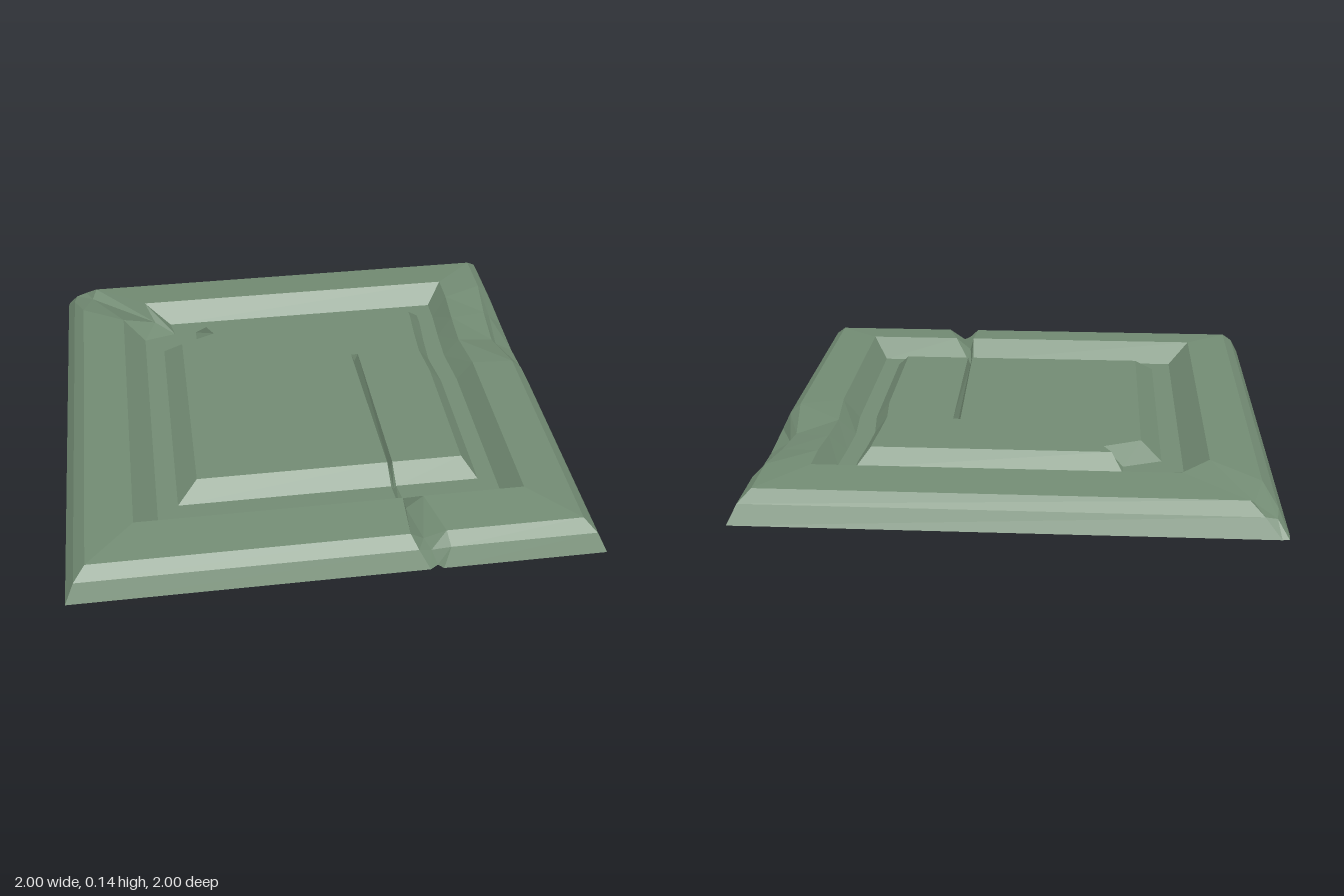
import * as THREE from 'three';

// One entry per square ring, from the outer foot to the inner plateau:
// l/r/f/b = extents, y = height, crack = front crack [xLeft, xMid, xRight, yMid, zMid],
// chip = corner break [backX, midX, midZ, leftZ, midY], dent = right side push [dx, dy]
const square = (h) => ({ l: -h, r: h, f: h, b: -h });
const RINGS = [
  { ...square(1), y: 0.01, crack: [0.33, 0.36, 0.38, 0.01, 0.98], chip: [-0.97, -0.995, -0.995, -0.97, 0.01], dent: [-0.005, -0.01] },
  { ...square(0.965), y: 0.08, crack: [0.29, 0.34, 0.41, 0.06, 0.95], chip: [-0.91, -0.955, -0.955, -0.89, 0.07], dent: [-0.05, -0.03] },
  { ...square(0.92), y: 0.122, crack: [0.265, 0.32, 0.4, 0.075, 0.9], chip: [-0.86, -0.88, -0.88, -0.75, 0.095], dent: [-0.03, -0.04] },
  { ...square(0.74), y: 0.14, crack: [0.27, 0.285, 0.35, 0.085, 0.74], chip: [-0.64, -0.6, -0.66, -0.615, 0.085], dent: [-0.015, -0.012] },
  { l: -0.65, r: 0.675, f: 0.655, b: -0.67, y: 0.06, crack: [0.265, 0.275, 0.29, 0.045, 0.655], chip: [-0.53, -0.515, -0.59, -0.555, 0.06], dent: [-0.015, 0] },
  { l: -0.57, r: 0.605, f: 0.58, b: -0.59, y: 0.06, crack: [0.26, 0.27, 0.28, 0.045, 0.58], chip: [-0.42, -0.42, -0.52, -0.46, 0.06], dent: [-0.02, 0] },
  { l: -0.49, r: 0.55, f: 0.51, b: -0.53, y: 0.125, crack: [0.255, 0.265, 0.275, 0.09, 0.51], chip: [-0.375, -0.345, -0.475, -0.41, 0.125], dent: [-0.015, 0] },
];
const DENT = [[-0.1, 0], [-0.34, 1], [-0.55, 0.6], [-0.75, 0]]; // [z, strength]

// Points of one ring, counter-clockwise seen from above
function ringPoints({ l, r, f, b, y, crack, chip, dent }) {
  const [cl, cm, cr, cy, cz] = crack;
  const [bx, mx, mz, lz, my] = chip;
  const shrink = Math.pow(r, 0.7);
  return [
    [l, y, f], [cl, y, f], [cm, cy, cz], [cr, y, f], [r, y, f],
    ...DENT.map(([z, w]) => [r + dent[0] * w, y + dent[1] * w, z * shrink]),
    [r, y, b], [bx, y, b], [mx, my, mz], [l, y, lz],
  ];
}

export function createModel() {
  const group = new THREE.Group();
  group.name = 'stoneSlab';
  const stone = new THREE.MeshStandardMaterial({ color: 0x728b73, flatShading: true, side: THREE.DoubleSide });
  stone.name = 'mossy stone';

  const addMesh = (name, triangles) => {
    const geometry = new THREE.BufferGeometry();
    geometry.setAttribute('position', new THREE.Float32BufferAttribute(triangles.flat(), 3));
    geometry.computeVertexNormals();
    const mesh = new THREE.Mesh(geometry, stone);
    mesh.name = name;
    group.add(mesh);
  };
  const quad = (a, b, c, d) => [a, b, c, a, c, d];

  // Bands between neighbouring rings
  const rings = RINGS.map(ringPoints);
  const names = ['lowerBevel', 'upperBevel', 'rim', 'grooveOuterWall', 'grooveFloor', 'plateauWall'];
  names.forEach((name, k) => {
    const outer = rings[k], inner = rings[k + 1];
    addMesh(name, outer.flatMap((p, i) => {
      const j = (i + 1) % outer.length;
      return quad(p, outer[j], inner[j], inner[i]);
    }));
  });

  // Plateau top, notched by the long slit
  const top = rings[rings.length - 1];
  const [, leftFront, mid, rightFront] = top;
  const y = RINGS[RINGS.length - 1].y;
  const leftTip = [0.235, y, -0.23], rightTip = [0.265, y, -0.23], bottomTip = [0.25, 0.09, -0.23];
  const outline = [top[0], leftFront, leftTip, rightTip, ...top.slice(3)];
  const faces = THREE.ShapeUtils.triangulateShape(outline.map((p) => new THREE.Vector2(p[0], -p[2])), []);
  addMesh('plateauTop', faces.flatMap((f) => f.map((i) => outline[i])));

  // Slit walls
  addMesh('slit', [
    ...quad(leftFront, mid, bottomTip, leftTip),
    ...quad(mid, rightFront, rightTip, bottomTip),
    leftTip, bottomTip, rightTip,
  ]);
  return group;
}
